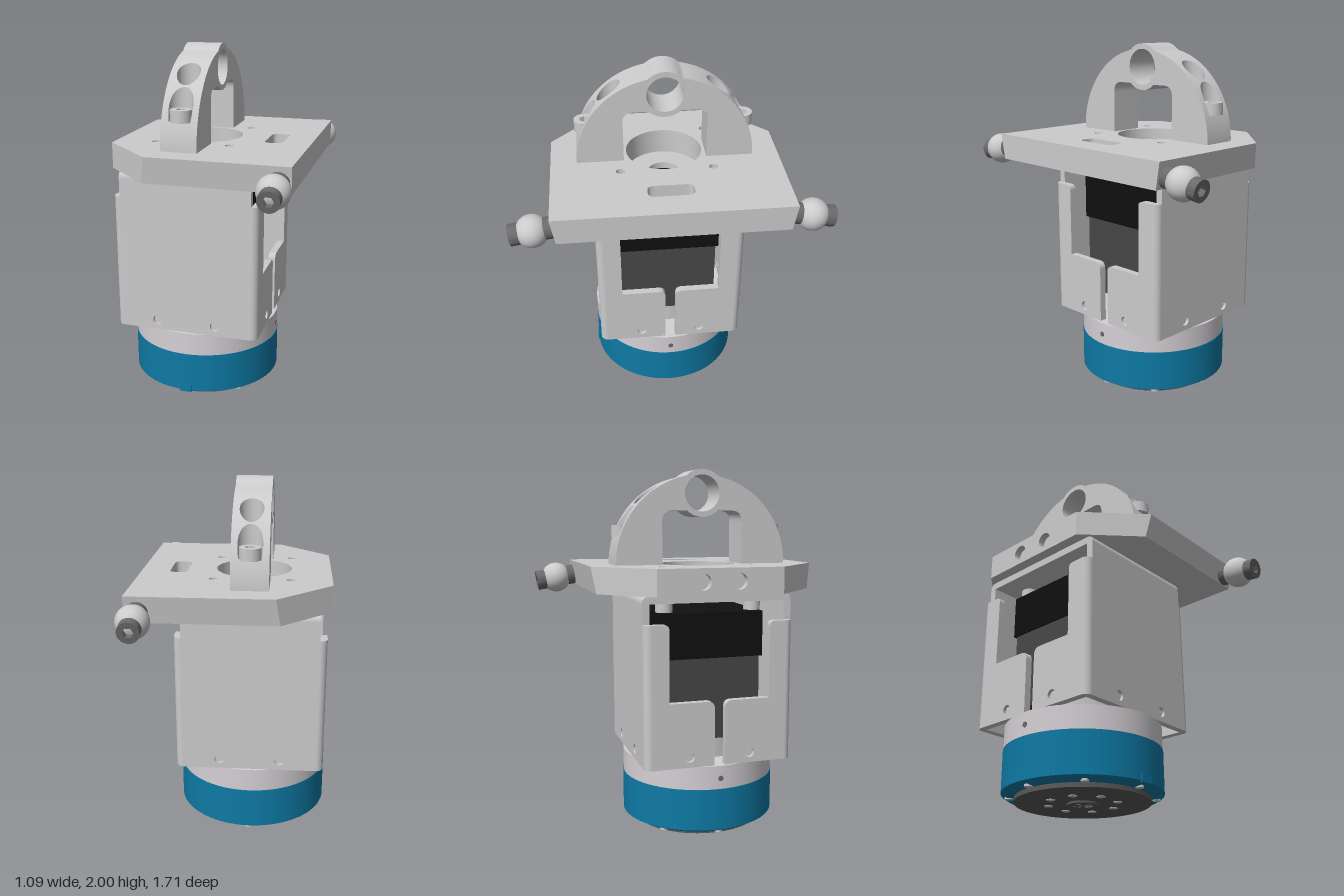
import * as THREE from 'three';
import { toCreasedNormals } from 'three/addons/utils/BufferGeometryUtils.js';

const mat = (color, side = THREE.FrontSide) => new THREE.MeshStandardMaterial({ color, side });
const GREY = mat(0xcccccc), GREY2 = mat(0xcccccc, THREE.DoubleSide), DARK = mat(0x6a6a6a);
const BLUE = mat(0x0e7aa5), RING = mat(0xd5d0d5), BLACK = mat(0x101010), MOTOR = mat(0x474747), FLANGE = mat(0x5a5a5a);
const CX = -0.11; // x of the main vertical axis

export function createModel() {
  const root = new THREE.Group();
  const add = (name, geo, m = GREY, x = 0, y = 0, z = 0, parent = root) => {
    const mesh = new THREE.Mesh(geo, m);
    mesh.name = name;
    mesh.position.set(x, y, z);
    parent.add(mesh);
    return mesh;
  };
  const cyl = (r, h, n = 40, r2 = r) => new THREE.CylinderGeometry(r, r2, h, n);
  const circle = (x, y, r) => new THREE.Path().absarc(x, y, r, 0, Math.PI * 2);
  const poly = (pts, holes = []) => {
    const s = new THREE.Shape(pts.map(p => new THREE.Vector2(...p)));
    s.holes.push(...holes);
    return s;
  };
  const extrude = (shape, depth) => toCreasedNormals(
    new THREE.ExtrudeGeometry(shape, { depth, bevelEnabled: false, curveSegments: 20 }), 0.6);
  // shape drawn in (z, y), filling x from xMax - depth to xMax
  const sideways = (shape, depth, xMax) => extrude(shape, depth).rotateY(-Math.PI / 2).translate(xMax, 0, 0);
  // shape drawn in (x, -z), extruded upward
  const upright = (shape, depth, y) => extrude(shape, depth).rotateX(-Math.PI / 2).translate(0, y, 0);
  // surface through rows of points
  const loft = rows => {
    const n = rows[0].length, idx = [];
    for (let i = 0; i < rows.length - 1; i++)
      for (let j = 0; j < n - 1; j++) {
        const a = i * n + j, b = a + n;
        idx.push(a, b, a + 1, b, b + 1, a + 1);
      }
    const g = new THREE.BufferGeometry();
    g.setAttribute('position', new THREE.Float32BufferAttribute(rows.flat(2), 3));
    g.setIndex(idx);
    g.computeVertexNormals();
    return g;
  };
  // socket head screw standing on its origin along +y
  const screw = (name, r, h, m) => {
    const g = new THREE.Group(), s = new THREE.Shape().absarc(0, 0, r, 0, Math.PI * 2);
    const hex = [0, 1, 2, 3, 4, 5].map(i => new THREE.Vector2(Math.cos(i * Math.PI / 3), Math.sin(i * Math.PI / 3)).multiplyScalar(r * 0.5));
    s.holes.push(new THREE.Path(hex).closePath());
    add(name + 'Rim', upright(s, h * 0.5, h * 0.5), m, 0, 0, 0, g);
    add(name + 'Base', cyl(r, h * 0.5), m, 0, h * 0.25, 0, g);
    g.name = name;
    return g;
  };

  // round base: blue housing, ring and output flange
  add('housing', new THREE.LatheGeometry([[0, 0.035], [0.4, 0.035], [0.4, 0.035], [0.435, 0.055], [0.435, 0.055], [0.435, 0.285], [0.435, 0.285], [0, 0.285]]
    .map(p => new THREE.Vector2(...p)), 72), BLUE, CX);
  add('housingTab', new THREE.BoxGeometry(0.07, 0.045, 0.02), BLUE, CX, 0.07, 0.43);
  add('adapterRing', cyl(0.432, 0.13, 72), RING, CX, 0.35);
  add('outputFlange', cyl(0.366, 0.025, 64), FLANGE, CX, 0.0235);
  add('flangeHub', cyl(0.085, 0.012), FLANGE, CX, 0.006);
  add('hubBore', cyl(0.055, 0.002), GREY, CX, 0.001);
  for (let i = 0; i < 8; i++) {
    const a = i * Math.PI / 4, c = Math.cos(a), s = Math.sin(a);
    add('rimScrew', cyl(0.022, 0.012, 16), GREY, CX + 0.392 * c, 0.036, 0.392 * s);
    const b = a + 0.3;
    add('flangeScrew', cyl(0.024, 0.01, 16), GREY, CX + 0.19 * Math.cos(b), 0.013, 0.19 * Math.sin(b));
  }
  for (const s of [-1, 1]) add('setScrew', cyl(0.015, 0.006, 12).rotateZ(Math.PI / 2), DARK, CX + s * 0.432, 0.345);

  // motor inside the bracket
  add('gearbox', cyl(0.275, 0.12), GREY, CX, 0.47);
  add('motorBody', new THREE.BoxGeometry(0.55, 0.46, 0.55), MOTOR, CX, 0.755);
  add('motorCap', new THREE.BoxGeometry(0.57, 0.25, 0.58), BLACK, CX, 1.105);
  add('motorConnector', new THREE.BoxGeometry(0.12, 0.03, 0.05), DARK, CX, 1.205, 0.31);

  // folded sheet bracket: walls, split side flanges, bends and top
  const B = 0.04, X0 = CX - 0.375, X1 = CX + 0.375;
  const wall = poly([[X0, 0.415], [X1, 0.415], [X1, 1.295], [X0, 1.295]],
    [circle(CX - 0.17, 0.47, 0.027), circle(CX + 0.17, 0.47, 0.027)]);
  const quarter = (h, start) => new THREE.CylinderGeometry(B, B, h, 8, 1, false, start, Math.PI / 2);
  for (const s of [-1, 1]) {
    add('bracketWall', extrude(wall, B), GREY, 0, 0, s > 0 ? 0.375 : -0.415);
    const f = new THREE.Shape().moveTo(s * 0.03, 0.415).lineTo(s * 0.375, 0.415).lineTo(s * 0.375, 1.19).lineTo(s * 0.31, 1.19)
      .quadraticCurveTo(s * 0.28, 1.19, s * 0.28, 1.16).lineTo(s * 0.28, 0.77).lineTo(s * 0.07, 0.77).quadraticCurveTo(s * 0.03, 0.77, s * 0.03, 0.73);
    f.holes.push(circle(s * 0.17, 0.47, 0.027));
    for (const t of [-1, 1]) {
      add('bracketFlange', sideways(f, B, t > 0 ? X1 + B : X0), GREY);
      const start = s > 0 ? (t > 0 ? 0 : -Math.PI / 2) : (t > 0 ? Math.PI / 2 : Math.PI);
      add('bracketBend', quarter(0.775, start), GREY, t > 0 ? X1 : X0, 0.8025, s * 0.375);
      add('sideScrew', cyl(0.024, 0.02, 16).rotateZ(Math.PI / 2), GREY, CX + t * 0.39, 0.47, s * 0.17);
      add('wallScrew', cyl(0.024, 0.02, 16).rotateX(Math.PI / 2), GREY, CX + t * 0.17, 0.47, s * 0.39);
      add('plateScrew', cyl(0.047, 0.065, 24), GREY, CX + t * 0.21, 1.265, s * 0.253);
    }
    const bend = new THREE.Shape().moveTo(s * 0.375, 1.295).lineTo(s * 0.415, 1.295).quadraticCurveTo(s * 0.415, 1.335, s * 0.375, 1.335);
    add('bracketTopBend', sideways(bend, 0.75, X1), GREY);
  }
  add('bracketTop', upright(poly([[X0, -0.375], [X1, -0.375], [X1, 0.375], [X0, 0.375]], [circle(CX, 0, 0.09)]), B, 1.295), GREY);

  // mounting plate: core plus drilled edge strips, sides leaning in below
  const Y0 = 1.335, Y1 = 1.48, H = Y1 - Y0;
  const slot = new THREE.Path().moveTo(0.3, -0.125).lineTo(0.32, -0.125).quadraticCurveTo(0.36, -0.125, 0.36, -0.085).lineTo(0.36, 0.085)
    .quadraticCurveTo(0.36, 0.125, 0.32, 0.125).lineTo(0.3, 0.125).quadraticCurveTo(0.26, 0.125, 0.26, 0.085).lineTo(0.26, -0.085)
    .quadraticCurveTo(0.26, -0.125, 0.3, -0.125);
  const holes = [circle(CX, 0, 0.213), slot];
  for (const s of [-1, 1]) for (const t of [-1, 1]) holes.push(circle(CX + s * 0.21, t * 0.255, 0.024));
  let core = upright(poly([[-0.25, -0.635], [0.47, -0.635], [0.47, 0.635], [-0.25, 0.635], [-0.505, 0.389], [-0.505, -0.389]], holes), H, Y0);
  let p = core.attributes.position;
  for (let i = 0; i < p.count; i++)
    if (p.getY(i) < Y0 + 0.01 && Math.abs(p.getZ(i)) > 0.6) {
      p.setZ(i, Math.sign(p.getZ(i)) * 0.611);
      if (p.getX(i) < 0) p.setX(i, -0.275);
    }
  core.deleteAttribute('normal');
  add('plate', toCreasedNormals(core, 0.6));
  add('plateEdge', sideways(poly([[-0.611, Y0], [0.611, Y0], [0.635, Y1], [-0.635, Y1]],
    [circle(-0.21, 1.408, 0.043), circle(0.21, 1.408, 0.043), circle(-0.565, 1.408, 0.019), circle(0.565, 1.408, 0.019)]), 0.05, 0.52));
  const back = sideways(poly([[-0.35, Y0], [0.35, Y0], [0.35, Y1], [-0.35, Y1]], [circle(-0.1, 1.408, 0.043), circle(0.1, 1.408, 0.043)]), 0.04, -0.505);
  p = back.attributes.position;
  for (let i = 0; i < p.count; i++)
    if (p.getX(i) > -0.51 && Math.abs(p.getZ(i)) > 0.3) p.setZ(i, Math.sign(p.getZ(i)) * 0.389);
  back.deleteAttribute('normal');
  add('plateBackEdge', toCreasedNormals(back, 0.6));

  // arched handle, with vertical screw wells cut into its crown
  const R = 0.49, FLOOR = 1.63, half = 0.1;
  const top = z => Math.max(Y1 + Math.sqrt(Math.max(0, R * R - z * z)), Math.abs(z) < 0.13 ? 1.87 + Math.sqrt(0.0169 - z * z) : 0);
  const zf = Math.sqrt(R * R - (FLOOR - Y1) ** 2);
  const wells = [[0.435, 0.066], [0.297, 0.064]];
  const rows = []; // [z, half width of the well]
  for (let i = 0; i <= 8; i++) rows.push([R * Math.cos(i / 8 * Math.acos(zf / R)), 0]);
  wells.forEach(([c, r], k) => {
    const a0 = k ? 0 : Math.acos((zf - c) / r);
    for (let i = 0; i <= 20; i++) { const a = a0 + (Math.PI - a0) * i / 20; rows.push([c + r * Math.cos(a), r * Math.sin(a)]); }
  });
  for (let i = 1; i <= 24; i++) rows.push([0.233 * (1 - i / 24), 0]);
  const all = [...rows, ...rows.slice(0, -1).reverse().map(([z, w]) => [-z, w])];
  const arch = new THREE.Group();
  arch.name = 'archHandle';
  arch.position.x = CX;
  root.add(arch);
  for (const s of [-1, 1])
    add('archCrown', loft(all.map(([z, w]) => [[s * w, top(z), z], [s * half, top(z), z]])), GREY2, 0, 0, 0, arch);
  const a = Math.atan2(0.095, 0.089);
  const opening = new THREE.Path().moveTo(-0.23, Y1).lineTo(-0.23, 1.715).quadraticCurveTo(-0.23, 1.775, -0.17, 1.775).lineTo(-0.089, 1.775)
    .absarc(0, 1.87, 0.13, Math.PI + a, 2 * Math.PI - a, false).lineTo(0.17, 1.775).quadraticCurveTo(0.23, 1.775, 0.23, 1.715).lineTo(0.23, Y1)
    .getPoints(16).map(v => [v.x, v.y]);
  const face = poly([...all.map(([z]) => [z, top(z)]), ...opening], [circle(0, 1.87, 0.1)]);
  for (const s of [-1, 1])
    add('archSide', new THREE.ShapeGeometry(face, 32).rotateY(-Math.PI / 2), GREY2, s * half, 0, 0, arch);
  add('archOpening', toCreasedNormals(loft(opening.map(([z, y]) => [[-half, y, z], [half, y, z]])), 0.5), GREY2, 0, 0, 0, arch);
  add('archEye', new THREE.CylinderGeometry(0.1, 0.1, 2 * half, 40, 1, true).rotateZ(Math.PI / 2), GREY2, 0, 1.87, 0, arch);
  for (const s of [-1, 1])
    for (const [c, r] of wells) {
      const ring = [];
      for (let i = 0; i <= 40; i++) {
        const t = i / 40 * Math.PI * 2;
        ring.push([r * Math.sin(t), Math.min(c + r * Math.cos(t), zf)]);
      }
      add('wellWall', loft(ring.map(([x, z]) => [[x, FLOOR, s * z], [x, Math.max(FLOOR, top(z)), s * z]])), GREY2, 0, 0, 0, arch);
      add('wellFloor', loft(ring.map(([x, z]) => [[0, FLOOR, s * c], [x, FLOOR, s * z]])), GREY2, 0, 0, 0, arch);
      const b = screw('archScrew', 0.058, 0.065, GREY);
      b.position.set(0, FLOOR + 0.002, s * c);
      arch.add(b);
    }

  // ball studs square to the leaning plate sides
  for (const s of [-1, 1]) {
    const g = new THREE.Group();
    g.name = 'ballStud';
    g.position.set(0.452, 1.377, s * 0.728);
    g.rotation.set(0.165, s > 0 ? 0 : Math.PI, 0, 'YXZ');
    add('studNeck', cyl(0.058, 0.08, 32).rotateX(Math.PI / 2), DARK, 0, 0, -0.085, g);
    add('studBall', new THREE.SphereGeometry(0.088, 40, 24), GREY, 0, 0, 0, g);
    const head = screw('studHead', 0.058, 0.075, DARK);
    head.rotation.x = Math.PI / 2;
    head.position.z = 0.042;
    g.add(head);
    root.add(g);
  }
  return root;
}
